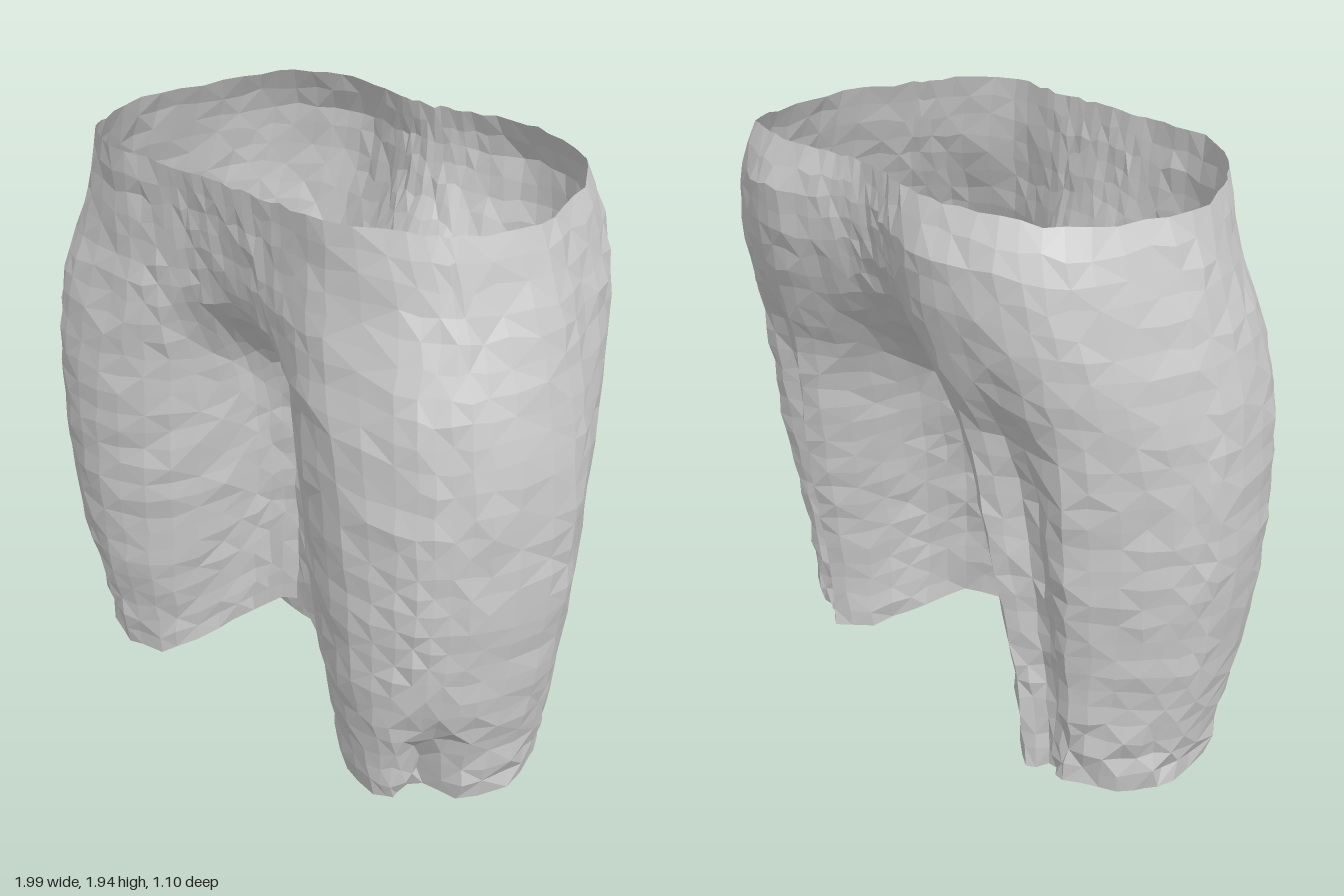
import * as THREE from 'three';

// Section by height: y, side x,
// front groove half width, centre z, lobe x, lobe z, back groove half width, centre z, lobe x, lobe z
const LEVELS = [
  [0.00, 0.87, 0.29, 0.19, 0.58, 0.45, 0.31, 0.10, 0.52, -0.27],
  [0.20, 0.90, 0.27, 0.16, 0.57, 0.48, 0.30, 0.12, 0.52, -0.28],
  [0.45, 0.95, 0.23, 0.145, 0.56, 0.525, 0.29, 0.13, 0.51, -0.31],
  [0.80, 0.99, 0.18, 0.145, 0.55, 0.545, 0.26, 0.11, 0.48, -0.375],
  [1.10, 0.99, 0.16, 0.16, 0.52, 0.55, 0.22, 0.03, 0.45, -0.41],
  [1.25, 0.98, 0.16, 0.20, 0.49, 0.54, 0.19, -0.11, 0.42, -0.43],
  [1.38, 0.955, 0.17, 0.31, 0.46, 0.53, 0.16, -0.26, 0.41, -0.475],
  [1.50, 0.93, 0.18, 0.42, 0.43, 0.515, 0.14, -0.36, 0.39, -0.51],
  [1.65, 0.89, 0.18, 0.465, 0.42, 0.50, 0.13, -0.42, 0.37, -0.54],
  [1.80, 0.84, 0.18, 0.48, 0.42, 0.495, 0.13, -0.45, 0.36, -0.55],
  [1.95, 0.78, 0.18, 0.50, 0.42, 0.505, 0.13, -0.43, 0.35, -0.48],
];
const COLS = 84, ROWS = 28;
const { smoothstep: step, lerp, clamp } = THREE.MathUtils;

function levelAt(y) {
  let i = 0;
  while (i < LEVELS.length - 2 && y > LEVELS[i + 1][0]) i++;
  const a = LEVELS[i], b = LEVELS[i + 1];
  const t = clamp((y - a[0]) / (b[0] - a[0]), 0, 1);
  return a.map((v, k) => lerp(v, b[k], t));
}

// Half outline from front centre round the side to back centre, pinched between the legs
function outlineAt(y) {
  const [, X, fw, f0, fx, fz, bw, b0, bx, bz] = levelAt(y);
  const fold = 1 - step(y, 1.0, 1.5);    // long folds down the back of the legs
  const pocket = step(y, 1.4, 1.75);     // tuck below the waist at the hips
  const tuck = 1 - step(y, 0.1, 0.45);   // cloth tucked in at the hem
  const seat = Math.max(step(y, 0.9, 1.7), tuck * 0.6); // fuller back corner
  const df = fz - f0, db = bz - b0;
  const outerX = X * lerp(0.73, 0.78, seat), outerZ = bz * lerp(0.84, 0.82, seat);
  const pts = [
    [0, f0], [fw * 0.55, f0 + df * 0.12], [fw, f0 + df * 0.4],
    [fw + (fx - fw) * 0.42, f0 + df * 0.81], [fx, fz],
    [X * 0.75, fz * (0.93 - 0.1 * pocket)],
    [X * (0.85 - 0.1 * tuck), fz * (0.8 - 0.13 * pocket - 0.1 * tuck)],
    [X * (0.94 - 0.04 * pocket), fz * (0.6 - 0.06 * pocket)],
    [X, 0.07], [X * 0.965, bz * lerp(0.08, 0.22, seat)],
    [X * (0.87 + 0.02 * seat), bz * lerp(0.48, 0.6, seat)], [outerX, outerZ],
    [lerp(bx, outerX, 0.45), bz * (0.95 - 0.18 * fold)],
    [bx, bz], [lerp(bw, bx, 0.4), b0 + db * 0.66],
    [bw, b0 + db * 0.31], [bw * 0.55, b0 + db * 0.1], [0, b0],
  ].map(([x, z]) => new THREE.Vector3(x, 0, z));
  return new THREE.CatmullRomCurve3(pts, false, 'centripetal');
}

function seeded(seed) {
  return () => {
    seed = (seed * 16807) % 2147483647;
    return seed / 2147483647 - 0.5;
  };
}

function shortsGeometry() {
  const rnd = seeded(421), pos = [], idx = [];
  const hemLine = outlineAt(0.1);
  for (let r = 0; r <= ROWS; r++) {
    const v = r / ROWS;
    const base = outlineAt(0.02 + 1.9 * v);
    for (let c = 0; c < COLS; c++) {
      const side = c <= COLS / 2 ? 1 : -1;
      const u = side > 0 ? c / (COLS / 2) : 2 - c / (COLS / 2);
      // Hem rises between the legs, with a peak at the front centre
      const h = hemLine.getPoint(u);
      const peak = u < 0.5 ? 0.1 * Math.exp(-((h.x / 0.14) ** 2)) : 0;
      const hem = 0.02 + 0.2 * Math.exp(-((h.x / 0.33) ** 4)) + peak
        - (h.x > 0.4 && Math.abs(h.z) < 0.2 ? 0.012 : 0);
      const top = 1.935 - 0.04 * step(base.getPoint(u).x, 0.5, 0.8);
      const edge = r === 0 || r === ROWS;
      const y = hem + (top - hem) * v + rnd() * (edge ? 0.012 : 0.02);
      const p = outlineAt(y).getPoint(u);
      // Cloth wrinkles, stronger towards the outer hem
      const rough = 0.012 + 0.02 * (p.x > 0.6 ? 1 : 0.25) * Math.max(0, 1 - y / 0.45);
      const lean = -0.03 * (1 - step(y, 1.2, 1.5)) * Math.exp(-((p.x / 0.2) ** 2));
      pos.push(side * p.x + lean + rnd() * rough, y, p.z + rnd() * rough);
    }
  }
  for (let r = 0; r < ROWS; r++) {
    for (let c = 0; c < COLS; c++) {
      const a = r * COLS + c, b = r * COLS + (c + 1) % COLS, d = a + COLS, e = b + COLS;
      if ((r + c) % 2) idx.push(a, b, e, a, e, d);
      else idx.push(a, b, d, b, e, d);
    }
  }
  const g = new THREE.BufferGeometry();
  g.setAttribute('position', new THREE.Float32BufferAttribute(pos, 3));
  g.setIndex(idx);
  g.computeVertexNormals();
  return g;
}

export function createModel() {
  const group = new THREE.Group();
  group.name = 'shorts';
  const cloth = new THREE.MeshStandardMaterial({ color: 0xcccccc, flatShading: true, side: THREE.DoubleSide });
  const body = new THREE.Mesh(shortsGeometry(), cloth);
  body.name = 'clothShell';
  group.add(body);
  return group;
}
